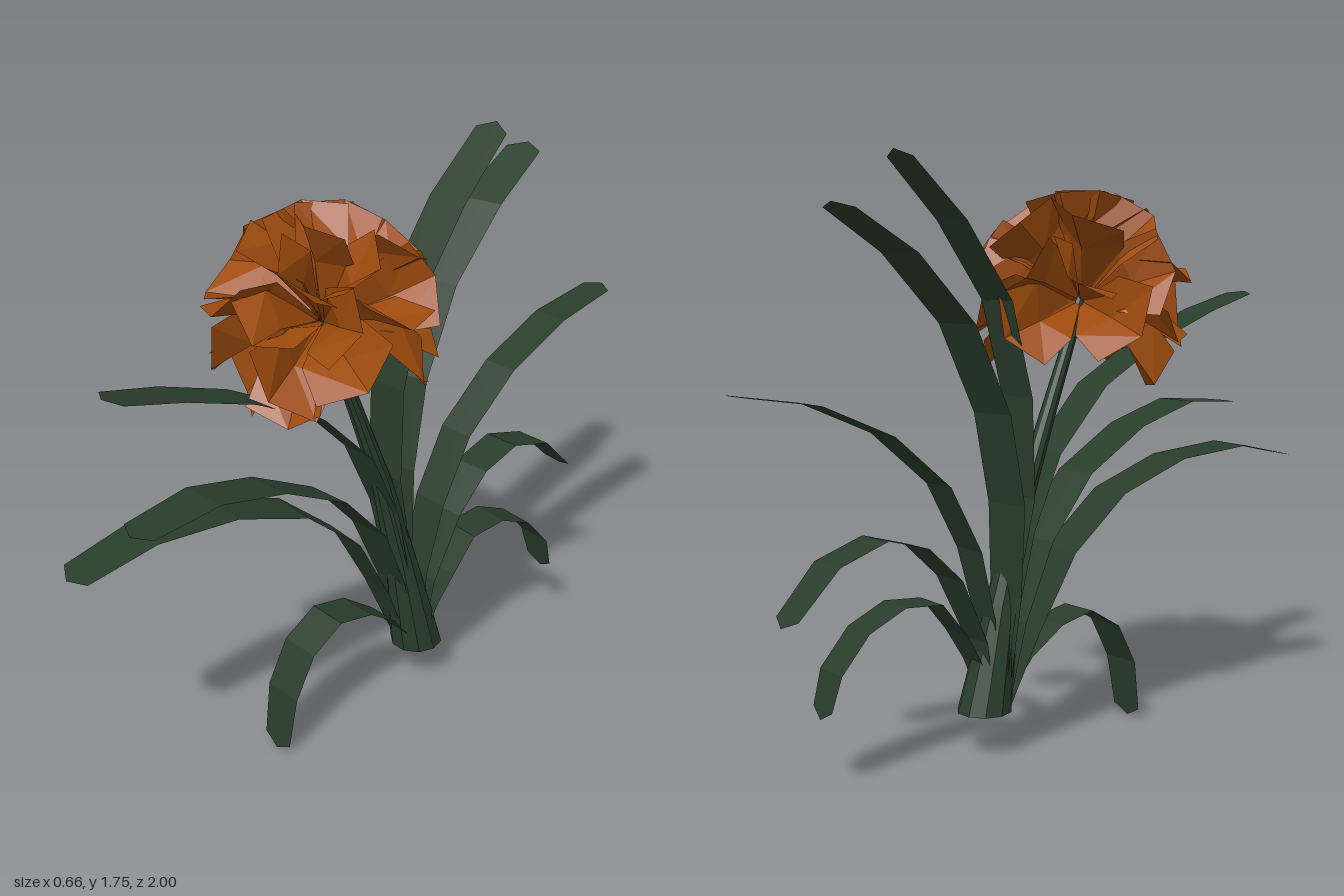
import * as THREE from 'three';

const V = (x, y, z) => new THREE.Vector3(x, y, z);

// Skins a list of equal-length point rows with flat triangles
function skin(rows, closed = false) {
  const pos = [];
  const tri = (a, b, c) => pos.push(...a.toArray(), ...b.toArray(), ...c.toArray());
  for (let i = 0; i < rows.length - 1; i++) {
    const a = rows[i], b = rows[i + 1], n = a.length;
    for (let j = 0; j < (closed ? n : n - 1); j++) {
      const k = (j + 1) % n;
      tri(a[j], a[k], b[k]);
      tri(a[j], b[k], b[j]);
    }
  }
  const g = new THREE.BufferGeometry();
  g.setAttribute('position', new THREE.Float32BufferAttribute(pos, 3));
  g.computeVertexNormals();
  return g;
}

// Strap leaf: [z, y] path drifting sideways from x0 to x1, with a pointed tip
function leafGeometry(path, x0, x1, width) {
  const n = path.length - 1;
  const pts = path.map(([z, y], i) => V(x0 + (x1 - x0) * (i / n), y, z));
  const run = pts[n].clone().sub(pts[0]).setY(0).normalize();
  const side = V(run.z, 0, -run.x);
  const rows = pts.map((p, i) => {
    const h = width * 0.5 * (i === 0 ? 0.6 : i === 1 ? 0.85 : i === n ? 0.86 : 1);
    const back = V(0, 0, 0);
    if (i === n) back.copy(pts[n - 1]).sub(p).setLength(0.03);
    return [
      p.clone().add(back).addScaledVector(side, -h),
      p.clone(),
      p.clone().add(back).addScaledVector(side, h),
    ];
  });
  return skin(rows);
}

export function createModel() {
  const root = new THREE.Group();
  root.name = 'flowerPlant';
  const mat = (name, color) => {
    const m = new THREE.MeshStandardMaterial({ color, flatShading: true, side: THREE.DoubleSide });
    m.name = name;
    return m;
  };
  const green = mat('leafGreen', 0x293d2b);
  const orange = mat('petalOrange', 0x9e4b0d);
  const add = (parent, name, geo, material) => {
    const m = new THREE.Mesh(geo, material);
    m.name = name;
    parent.add(m);
  };

  // Tapering, curved stem with a closed foot: [x, z, y, radius]
  const stem = [
    [0.03, -0.168, 0.13, 0.001], [0.03, -0.168, 0.13, 0.082], [0.024, -0.105, 0.45, 0.05], [0.015, -0.03, 0.75, 0.033],
    [0.008, 0.06, 1.0, 0.025], [0, 0.14, 1.22, 0.02], [0, 0.18, 1.34, 0.018],
  ];
  add(root, 'stem', skin(stem.map(([x, z, y, r]) =>
    Array.from({ length: 10 }, (_, j) => {
      const a = -j / 10 * Math.PI * 2;
      return V(x + Math.cos(a) * r, y, z + Math.sin(a) * r);
    })), true), green);

  // Leaves: path, x at base, x at tip, width
  const leaves = {
    frontLowLeaf: [[[-0.13, 0.15], [-0.03, 0.28], [0.08, 0.36], [0.2, 0.385], [0.31, 0.32], [0.38, 0.19], [0.41, 0]], 0.025, 0.024, 0.128],
    frontRightLeaf: [[[-0.12, 0.15], [-0.035, 0.365], [0.08, 0.59], [0.265, 0.75], [0.5, 0.835], [0.76, 0.855], [1, 0.8]], 0.005, -0.092, 0.15],
    frontLeftLeaf: [[[-0.13, 0.15], [-0.07, 0.39], [0.035, 0.62], [0.2, 0.805], [0.43, 0.93], [0.66, 0.99], [0.905, 0.97]], 0.005, 0.08, 0.14],
    frontTallLeaf: [[[-0.14, 0.15], [-0.1, 0.4], [-0.04, 0.66], [0.06, 0.88], [0.24, 1.07], [0.48, 1.2], [0.7, 1.28], [0.91, 1.335]], 0.015, 0.012, 0.128],
    backTallLeaf: [[[-0.15, 0.15], [-0.1, 0.53], [-0.055, 0.76], [-0.065, 1.055], [-0.14, 1.335], [-0.3, 1.56], [-0.495, 1.748]], 0.005, -0.005, 0.135],
    backRightLeaf: [[[-0.13, 0.15], [-0.115, 0.47], [-0.13, 0.75], [-0.2, 1.02], [-0.34, 1.28], [-0.545, 1.475], [-0.77, 1.605]], 0.015, -0.122, 0.135],
    backArchingLeaf: [[[-0.15, 0.15], [-0.16, 0.4], [-0.22, 0.62], [-0.33, 0.82], [-0.52, 0.98], [-0.75, 1.08], [-1, 1.12]], 0.035, 0.02, 0.115],
    backDroopingLeaf: [[[-0.16, 0.15], [-0.2, 0.35], [-0.3, 0.55], [-0.42, 0.66], [-0.56, 0.7], [-0.72, 0.65], [-0.87, 0.5]], 0.03, 0, 0.12],
    backLowLeaf: [[[-0.15, 0.15], [-0.195, 0.28], [-0.25, 0.375], [-0.335, 0.48], [-0.46, 0.49], [-0.58, 0.435], [-0.67, 0.33], [-0.705, 0.2]], 0.045, 0.078, 0.12],
  };
  for (const [name, args] of Object.entries(leaves)) add(root, name, leafGeometry(...args), green);

  // Flower head: folded petals radiating from one heart like crumpled fans
  const head = new THREE.Group();
  head.name = 'flowerHead';
  head.position.set(0, 1.325, 0.18);
  root.add(head);
  let seed = 11;
  const rnd = () => (seed = (seed * 16807) % 2147483647) / 2147483647 - 0.5;

  const petal = (dir, roll) => {
    const d = dir.clone().normalize();
    const side = V(0, 1, 0).cross(d).normalize().applyAxisAngle(d, roll);
    const up = d.clone().cross(side);
    const at = (a, u, s) => V(0, 0, 0).addScaledVector(d, a).addScaledVector(up, u).addScaledVector(side, s);
    const w = 0.12 + rnd() * 0.02, k = rnd() * 0.03;
    add(head, 'petal', skin([
      [at(0.01, 0, -0.012), at(0, 0, 0), at(0.01, 0, 0.012)],
      [at(0.2 + k, 0.05, -w * 0.8), at(0.2, -0.015, 0), at(0.2 - k, 0.05, w * 0.8)],
      [at(0.31, 0, -w), at(0.33, -0.055, k), at(0.31, 0, w)],
    ]), orange);
  };

  // Rings of petals: elevation in degrees, count
  for (const [elevation, count] of [[79, 3], [50, 7], [21, 10], [-8, 8]]) {
    for (let i = 0; i < count; i++) {
      const a = (i + 0.5 + rnd() * 0.35) / count * Math.PI * 2;
      const e = (elevation + rnd() * 10) * Math.PI / 180;
      const roll = (i % 2 ? 0.8 : -0.5) + rnd() * 1.1;
      petal(V(Math.sin(a) * Math.cos(e), Math.sin(e), Math.cos(a) * Math.cos(e)), roll);
    }
  }
  // Hanging petals below the ball: direction and roll
  const hanging = [[-0.2, -0.22, 0.17, -0.7], [0.12, -0.15, 0.25, 0.1], [0.18, -0.14, -0.24, 0.2]];
  for (const [x, y, z, roll] of hanging) petal(V(x, y, z), roll);

  return root;
}
